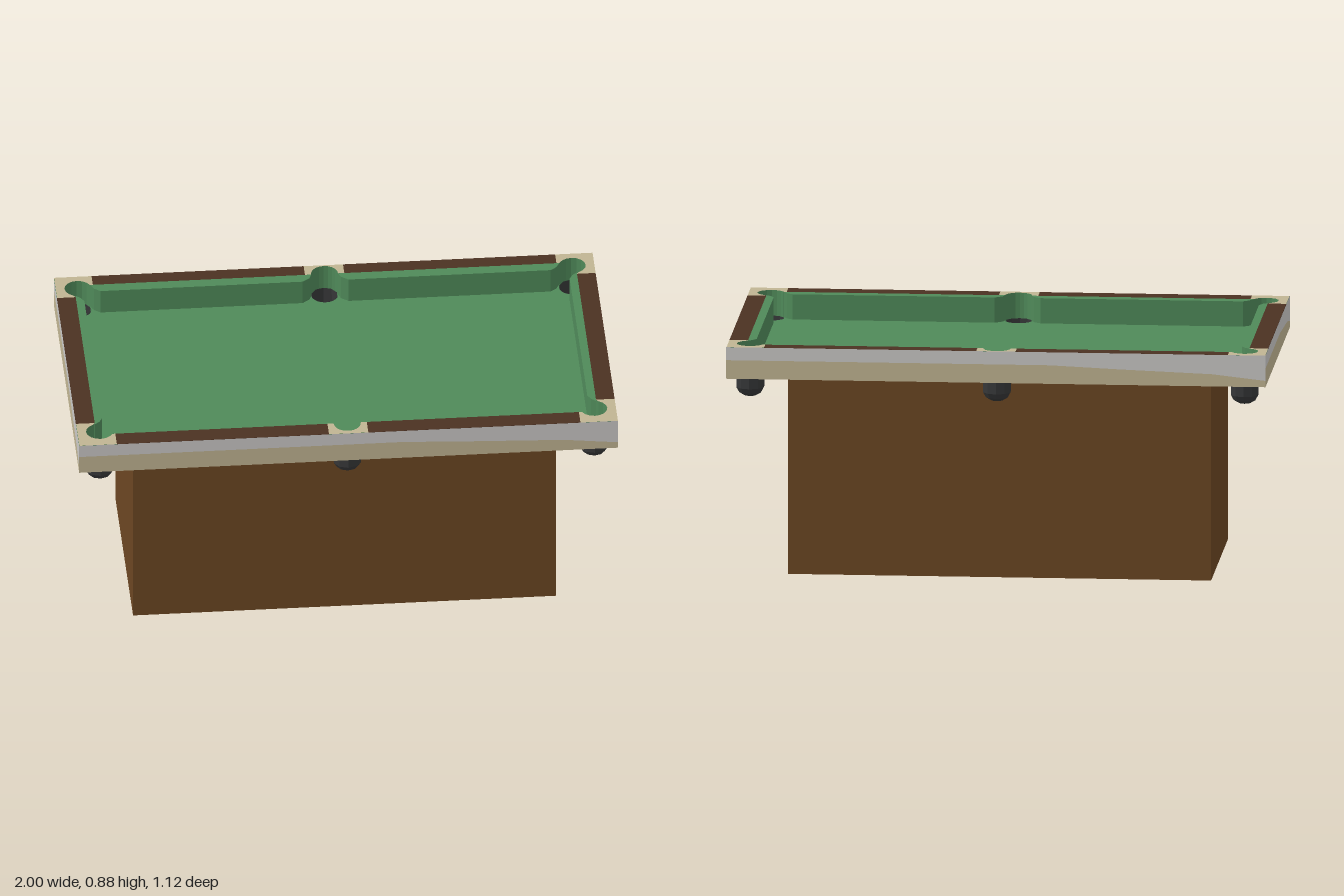
import * as THREE from 'three';

const mat = (name, color, side = THREE.FrontSide) => {
  const m = new THREE.MeshStandardMaterial({ color, side });
  m.name = name;
  return m;
};

export function createModel() {
  const wood = mat('baseWood', 0x6b4622);
  const rail = mat('darkRailWood', 0x4b3122);
  const cloth = mat('greenCloth', 0x4f8959);
  const cream = mat('creamTrim', 0xc0b492);
  const silver = mat('paleGreyTrim', 0xcac8c6);
  const dark = mat('pocketBlack', 0x363738, THREE.DoubleSide);

  const table = new THREE.Group();
  table.name = 'poolTable';
  const HX = 0.999, HZ = 0.561, TOP = 0.885, BOTTOM = 0.766, SHIFT = -0.006;
  const R = 0.05, CORNER = [0.917, 0.477], SIDE = [0, 0.5];

  const add = (name, geometry, material) => {
    const mesh = new THREE.Mesh(geometry, material);
    mesh.name = name;
    table.add(mesh);
    return mesh;
  };

  // Upright slab from an outline in x and z; inner outlines sit slightly to the back
  const slab = (name, pts, material, y0, y1, sx = 1, sz = 1) => {
    const shape = new THREE.Shape(pts.map(([x, z]) =>
      new THREE.Vector2(x * sx, -(z * sz + (Math.abs(z) < 0.55 ? SHIFT : 0)))));
    const g = new THREE.ExtrudeGeometry(shape, { depth: y1 - y0, bevelEnabled: false });
    g.rotateX(-Math.PI / 2);
    g.translate(0, y0, 0);
    return add(name, g, material);
  };

  // Points on a pocket rim, angles in degrees
  const arc = ([cx, cz], from, to, n = 10) => Array.from({ length: n + 1 }, (_, i) => {
    const a = THREE.MathUtils.degToRad(from + (to - from) * i / n);
    // keep rim points below the outer-edge threshold so they shift together
    return [cx + R * Math.cos(a), Math.min(cz + R * Math.sin(a), 0.5495)];
  });

  // Base block
  const base = add('base', new THREE.BoxGeometry(1.57, BOTTOM, 0.777), wood);
  base.position.set(0, BOTTOM / 2, SHIFT);

  // Playing bed with pocket cut-outs
  const [px, pz] = CORNER;
  slab('bed', [
    ...arc([px, pz], 285, 156), ...arc(SIDE, 357, 183), ...arc([-px, pz], 24, -105),
    ...arc([-px, -pz], 105, -24), ...arc([0, -SIDE[1]], 177, 3), ...arc([px, -pz], 204, 75),
  ], cloth, BOTTOM, 0.79);

  // Rails, cushions and trim
  const cornerTrim = [[HX, 0.42], [HX, HZ], [0.86, HZ], [0.86, 0.497],
    ...arc(CORNER, 156, -65), [0.93, 0.42]];
  const sideTrim = [[0.073, HZ], [-0.073, HZ], [-0.073, 0.497],
    ...arc(SIDE, 183, -3), [0.073, 0.497]];
  const longRail = [[0.073, 0.497], [0.86, 0.497], [0.86, HZ], [0.073, HZ]];
  const longCushion = [[0.05, 0.497], [0.058, 0.474], [0.085, 0.4525],
    [0.835, 0.4525], [0.857, 0.47], [0.871, 0.497]];
  const endRail = [[0.93, -0.42], [HX, -0.42], [HX, 0.42], [0.93, 0.42]];
  const endCushion = [[0.93, -0.429], [0.912, -0.413], [0.9, -0.39],
    [0.9, 0.39], [0.912, 0.413], [0.93, 0.429]];

  for (const sz of [1, -1]) {
    for (const sx of [1, -1]) {
      slab('cornerTrim', cornerTrim, [cream, cloth], BOTTOM, TOP, sx, sz);
      slab('longRail', longRail, rail, BOTTOM, TOP, sx, sz);
      slab('longCushion', longCushion, cloth, BOTTOM, TOP, sx, sz);
    }
    slab('sideTrim', sideTrim, [cream, cloth], BOTTOM, TOP, 1, sz);
    slab('endRail', endRail, rail, BOTTOM, TOP, sz, 1);
    slab('endCushion', endCushion, cloth, BOTTOM, TOP, sz, 1);
  }

  // Two-tone outer facing, the tan band narrowing towards the right end
  const split = [[-1, 0.836], [0.2, 0.836], [0.45, 0.825], [0.8, 0.812], [1, 0.79]];
  const facing = (name, half, edgeY, material, turn, dist) => {
    const pts = [[1, edgeY], [-1, edgeY], ...split].map(([u, y]) => new THREE.Vector2(u * half, y));
    const g = new THREE.ShapeGeometry(new THREE.Shape(pts));
    g.translate(0, 0, dist);
    g.rotateY(turn);
    add(name, g, material);
  };
  for (let i = 0; i < 4; i++) {
    const long = i % 2 === 0;
    const half = long ? 1 : 0.562, dist = long ? 0.562 : 1;
    facing('upperFacing', half, TOP, silver, i * Math.PI / 2, dist);
    facing('lowerFacing', half, BOTTOM, cream, i * Math.PI / 2, dist);
  }

  // Faceted pocket cups
  const profile = [[0, 0.688], [0.022, 0.691], [0.042, 0.703], [0.053, 0.722],
    [0.053, 0.765], [0.049, 0.765], [0.049, 0.789]].map(([r, y]) => new THREE.Vector2(r, y));
  const cup = new THREE.LatheGeometry(profile, 10).toNonIndexed();
  cup.computeVertexNormals();
  for (const sz of [1, -1]) {
    for (const [x, z] of [[-px, pz], SIDE, [px, pz]]) {
      add('pocket', cup, dark).position.set(x, 0, z * sz + SHIFT);
    }
  }
  return table;
}
